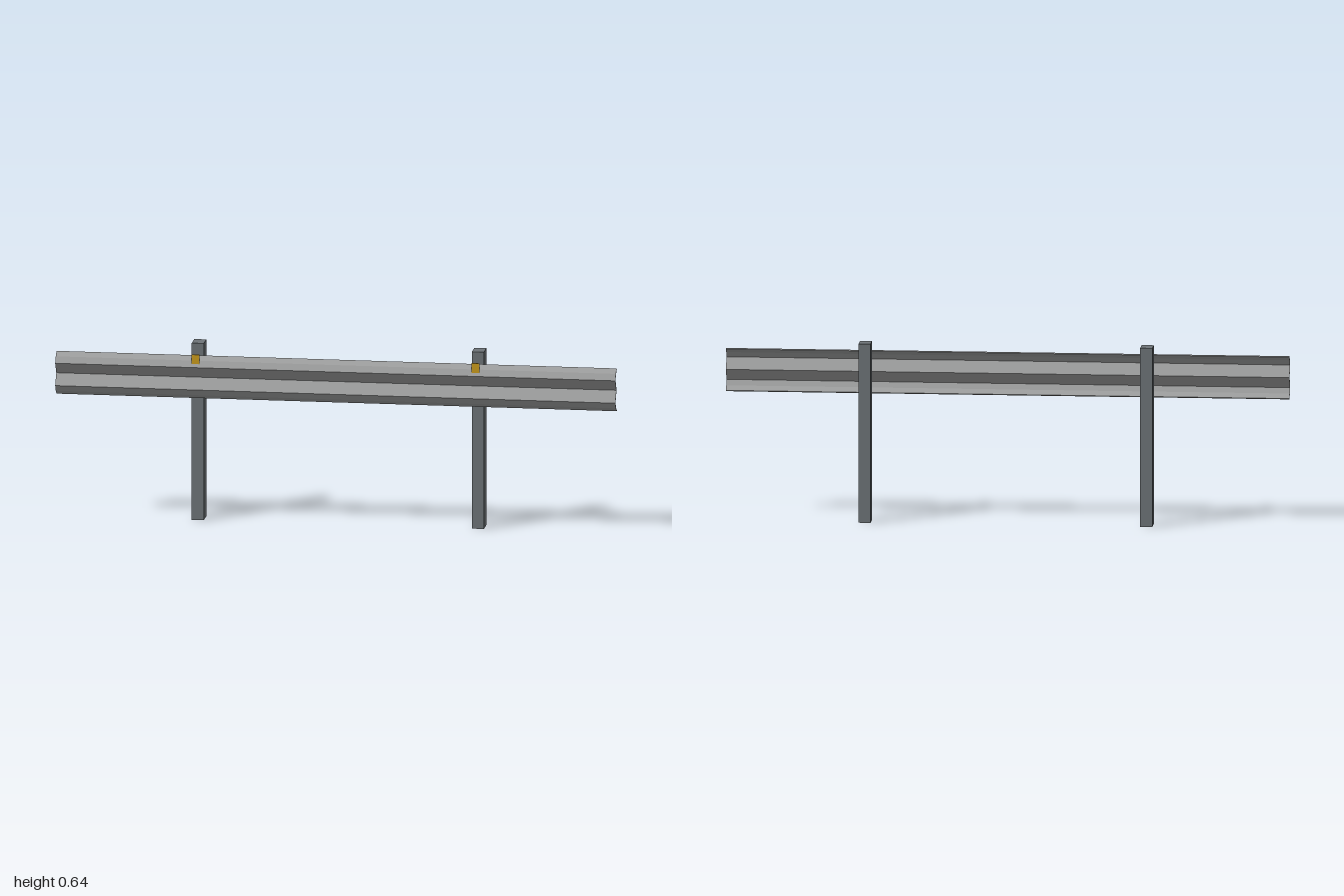
import * as THREE from 'three';

const paint = (name, color) => {
  const m = new THREE.MeshStandardMaterial({ color });
  m.name = name;
  return m;
};

// Box given by its centre x and its y and z ranges
function block(name, material, x, width, [y0, y1], [z0, z1]) {
  const mesh = new THREE.Mesh(new THREE.BoxGeometry(width, y1 - y0, z1 - z0), material);
  mesh.position.set(x, (y0 + y1) / 2, (z0 + z1) / 2);
  mesh.name = name;
  return mesh;
}

// Closed strip of even thickness behind an open profile, with mitred bends
function stripShape(points, thickness) {
  const pts = points.map(([z, y]) => new THREE.Vector2(z, y));
  const normal = (a, b) => new THREE.Vector2(b.y - a.y, a.x - b.x).normalize();
  const back = pts.map((p, i) => {
    const n1 = normal(pts[Math.max(i - 1, 0)], pts[Math.max(i, 1)]);
    const last = pts.length - 1;
    const n2 = normal(pts[Math.min(i, last - 1)], pts[Math.min(i + 1, last)]);
    const mitre = n1.clone().add(n2).normalize();
    return p.clone().addScaledVector(mitre, thickness / mitre.dot(n1));
  });
  return new THREE.Shape([...pts, ...back.reverse()]);
}

export function createModel() {
  const group = new THREE.Group();
  const steel = paint('galvanised steel', 0x9c9d9d);
  const postGrey = paint('post grey', 0x6e7478);
  const dark = paint('dark spacer', 0x47454a);
  const amber = paint('amber reflector', 0xc99a1c);

  // W-shaped rail: front profile (z, y) from top lip to bottom lip
  const profile = [
    [0.029, 0.604], [0.05, 0.589], [0.0645, 0.567], [0.0365, 0.5265],
    [0.0645, 0.486], [0.05, 0.464], [0.029, 0.449],
  ];
  const railGeometry = new THREE.ExtrudeGeometry(stripShape(profile, 0.004), { depth: 2, bevelEnabled: false });
  railGeometry.translate(0, 0, -1).rotateY(-Math.PI / 2);
  const rail = new THREE.Mesh(railGeometry, steel);
  rail.name = 'rail';
  group.add(rail);

  // Post, spacer and reflector on each side
  for (const [side, x] of [['right', -0.5], ['left', 0.5]]) {
    group.add(
      block(`${side}Post`, postGrey, x, 0.043, [0, 0.641], [-0.0645, 0]),
      block(`${side}Spacer`, dark, x, 0.034, [0.476, 0.576], [0, 0.0285]),
      block(`${side}Reflector`, amber, x, 0.029, [0.579, 0.613], [0.0545, 0.061]),
    );
  }
  return group;
}
